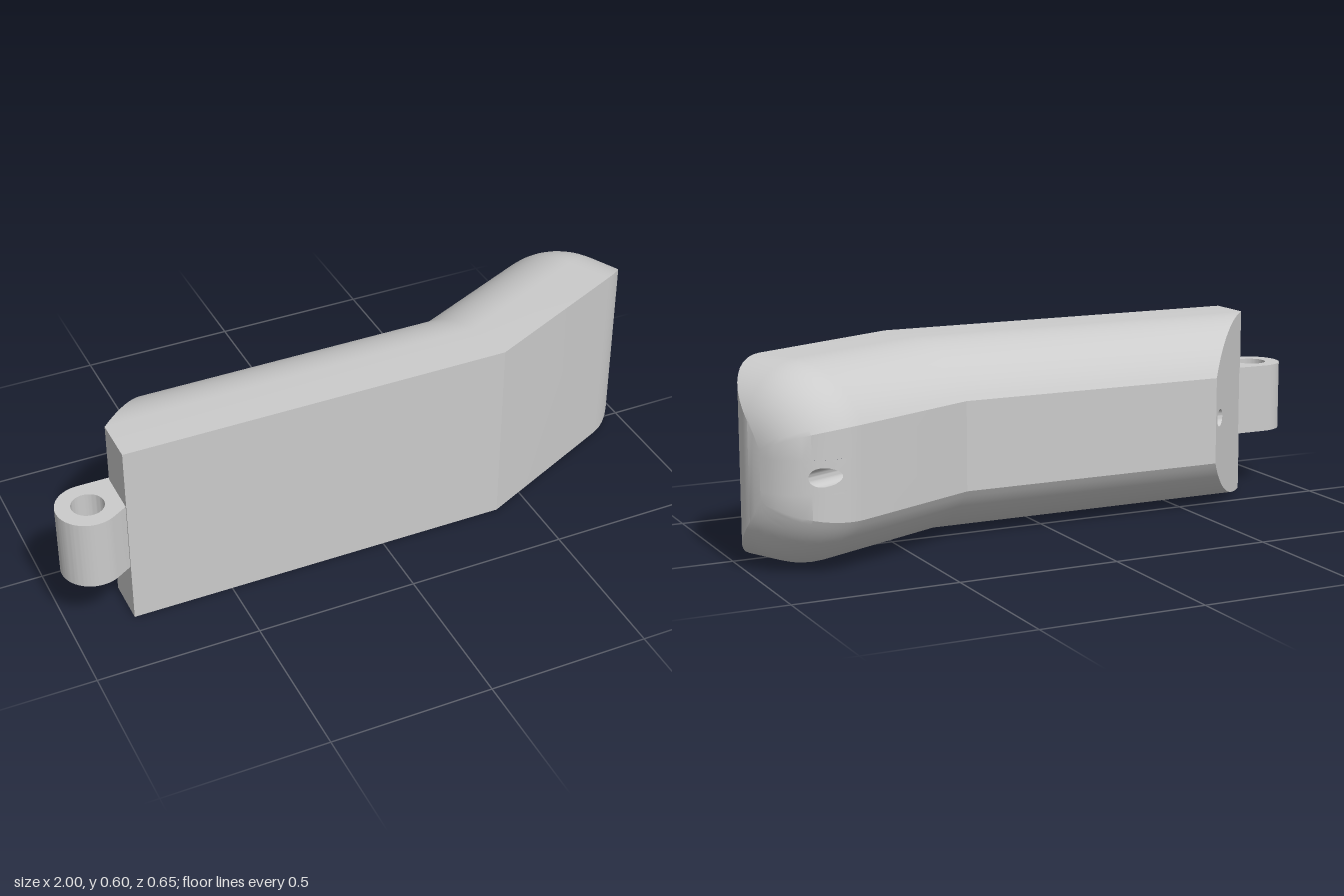
import * as THREE from 'three';
import { toCreasedNormals } from 'three/addons/utils/BufferGeometryUtils.js';

// Section: v runs from front (-) to back (+) around the arc centre, y is height from mid-line
const MID = 0.2985, R = 0.2985, FRONT = -0.145, BACK = 0.265;
const ROUND = 0.205;              // rounding of the tip, half the body depth
const ARC_Z = 0.145;              // z of the arc centre in the straight part
const BEND = THREE.MathUtils.degToRad(25);
const TIP = { x: 0.795, z: -0.123, v: 0.06 };
const HOLE = { v: 0.225, r: 0.0275 };
const STRIP = 0.05;               // half height of the strip holding the tip hole
const STEP = Math.PI / 24, PATCH = [2, 7];

const material = new THREE.MeshStandardMaterial({ color: 0xcccccc });

// Points of the flat-backed D section, inset by d
function section(d) {
  const r = R - d, back = BACK - d, front = FRONT + d, start = Math.max(front, 0);
  const top = [[front, Math.sqrt(r * r - start * start)]];
  const a0 = Math.acos(start / r), a1 = Math.acos(Math.min(1, back / r)), n = 16;
  for (let i = 0; i <= n; i++) {
    const a = a0 + (a1 - a0) * i / n;
    top.push([r * Math.cos(a), r * Math.sin(a)]);
  }
  top.push([back, STRIP]);
  return [...top, ...top.map(([v, y]) => [v, -y]).reverse()];
}

// Places of a section point along the body
const slantX = v => -0.81 + Math.max(v, 0) * 0.25 / BACK;
const atStart = ([v, y]) => new THREE.Vector3(slantX(v), y + MID, ARC_Z - v);
const atBend = ([v, y]) =>
  new THREE.Vector3(0.304 + (BACK - v) * Math.tan(BEND / 2), y + MID, ARC_Z - v);
const atTip = ([v, y], du) => new THREE.Vector3(
  TIP.x + du * Math.cos(BEND) - (v - TIP.v) * Math.sin(BEND),
  y + MID,
  TIP.z - du * Math.sin(BEND) - (v - TIP.v) * Math.cos(BEND));

function pushTriangle(out, a, b, c) {
  const area = new THREE.Vector3().subVectors(b, a)
    .cross(new THREE.Vector3().subVectors(c, a)).length();
  if (area > 1e-9) for (const p of [a, b, c]) out.push(p.x, p.y, p.z);
}

// Skin closed rings of points, leaving out any quad that skip(i, j) names
function loft(out, rows, skip = () => false) {
  for (let i = 0; i < rows.length - 1; i++) {
    const n = rows[i].length;
    for (let j = 0; j < n; j++) {
      if (skip(i, j)) continue;
      const k = (j + 1) % n;
      const a = rows[i][j], b = rows[i + 1][j], c = rows[i + 1][k], d = rows[i][k];
      pushTriangle(out, a, b, c);
      pushTriangle(out, a, c, d);
    }
  }
}

function makeMesh(name, positions) {
  const g = new THREE.BufferGeometry();
  g.setAttribute('position', new THREE.Float32BufferAttribute(positions, 3));
  const mesh = new THREE.Mesh(toCreasedNormals(g, 0.4), material);
  mesh.name = name;
  return mesh;
}

// Bent body with a rounded tip
function makeBody() {
  const out = [], full = section(0);
  const rows = [full.map(atStart), full.map(atBend)];
  for (let i = 0; i <= 12; i++) {
    const t = i * STEP;
    rows.push(section(ROUND * (1 - Math.cos(t))).map(p => atTip(p, ROUND * Math.sin(t))));
  }
  const strip = full.length / 2 - 1;
  loft(out, rows, (i, j) => j === strip && i - 2 >= PATCH[0] && i - 2 < PATCH[1]);

  // Patch of the rounded tip around the channel mouth
  const patch = [], mid = STEP * (PATCH[0] + PATCH[1]) / 2, half = STEP * (PATCH[1] - PATCH[0]) / 2;
  for (let i = 0; i <= 5; i++) {
    const ring = [], f = i / 5;
    for (let k = 0; k < 40; k++) {
      const t = k / 40 * Math.PI * 2, c = Math.cos(t), s = Math.sin(t);
      const q = 1 / Math.max(Math.abs(c), Math.abs(s));
      const inner = Math.acos((HOLE.v + HOLE.r * c - TIP.v) / ROUND);
      const a = inner + (mid - half * q * c - inner) * f;
      const y = HOLE.r * s + (STRIP * q * s - HOLE.r * s) * f;
      ring.push(atTip([TIP.v + ROUND * Math.cos(a), y], ROUND * Math.sin(a)));
    }
    patch.push(ring);
  }
  loft(out, patch);

  // Slanted end face with the channel mouth
  const shape = new THREE.Shape(full.filter(p => p[0] > -1e-6).map(([v, y]) => new THREE.Vector2(-v, y)));
  const hole = new THREE.Path();
  hole.absarc(-HOLE.v, 0, HOLE.r, 0, Math.PI * 2);
  shape.holes.push(hole);
  const face = new THREE.ShapeGeometry(shape, 20).toNonIndexed().attributes.position;
  for (let i = 0; i < face.count; i++) {
    const p = atStart([-face.getX(i), face.getY(i)]);
    out.push(p.x, p.y, p.z);
  }

  // Straight end wall beside the hinge
  const [a, b, c, d] = [[FRONT, -R], [FRONT, R], [0, R], [0, -R]].map(atStart);
  pushTriangle(out, a, b, c);
  pushTriangle(out, a, c, d);
  return makeMesh('body', out);
}

// Channel running lengthwise under the back face
function makeChannel() {
  const out = [], ring = [];
  for (let k = 0; k < 40; k++) {
    const t = k / 40 * Math.PI * 2;
    ring.push([HOLE.v + HOLE.r * Math.cos(t), HOLE.r * Math.sin(t)]);
  }
  loft(out, [
    ring.map(atStart),
    ring.map(atBend),
    ring.map(p => atTip(p, Math.sqrt(ROUND ** 2 - (p[0] - TIP.v) ** 2))),
  ]);
  return makeMesh('channel', out);
}

// Hinge lug with a vertical pin hole
function makeHinge() {
  const x = -0.905, z = 0.232, r = 0.095;
  const shape = new THREE.Shape();
  shape.moveTo(-0.8, -z + r);
  shape.lineTo(x, -z + r);
  shape.absarc(x, -z, r, Math.PI / 2, Math.PI * 1.5 + 0.5, false);
  shape.lineTo(-0.81, -0.285);
  shape.lineTo(-0.8, -0.285);
  shape.closePath();
  const pin = new THREE.Path();
  pin.absarc(x, -z, 0.049, 0, Math.PI * 2, true);
  shape.holes.push(pin);
  const g = new THREE.ExtrudeGeometry(shape, { depth: 0.222, bevelEnabled: false, curveSegments: 32 });
  g.rotateX(-Math.PI / 2).translate(0, 0.188, 0);
  const mesh = new THREE.Mesh(toCreasedNormals(g, 0.4), material);
  mesh.name = 'hingeLug';
  return mesh;
}

export function createModel() {
  const model = new THREE.Group();
  model.name = 'bentSegment';
  model.add(makeBody(), makeChannel(), makeHinge());
  return model;
}
